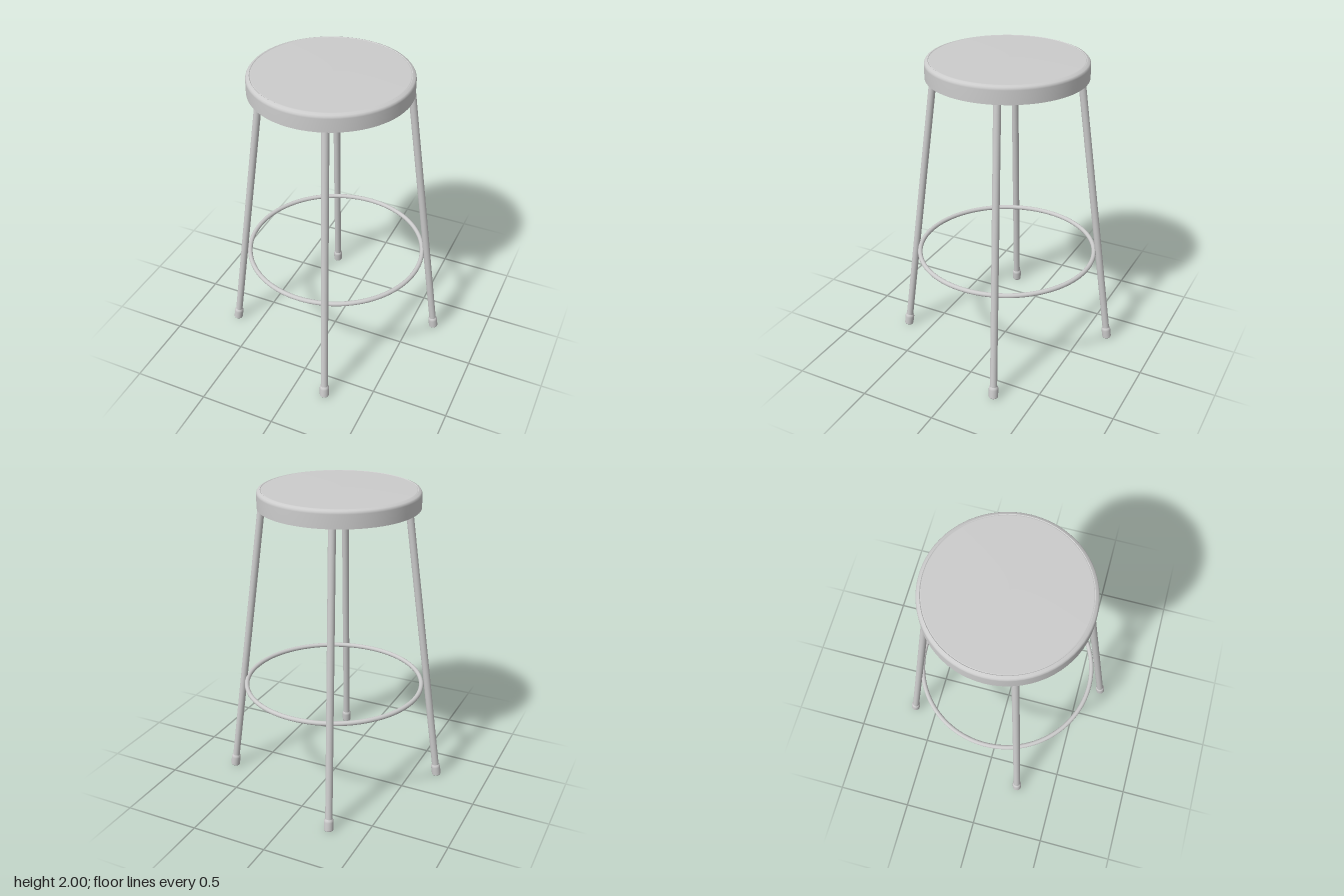
import * as THREE from 'three';

const material = new THREE.MeshStandardMaterial({ color: 0xcccccc });

function addMesh(parent, name, geometry) {
  const mesh = new THREE.Mesh(geometry, material);
  mesh.name = name;
  parent.add(mesh);
  return mesh;
}

// Lathe with crisp edges: each listed section gets its own smooth band
function addLathe(parent, name, sections, segments) {
  const group = new THREE.Group();
  group.name = name;
  sections.forEach((section, i) => {
    const points = section.map(([r, y]) => new THREE.Vector2(r, y));
    addMesh(group, `${name}Band${i + 1}`, new THREE.LatheGeometry(points, segments));
  });
  parent.add(group);
  return group;
}

// One leg in the x-y plane, +x pointing outwards
function createLeg() {
  const leg = new THREE.Group();
  const foot = new THREE.Vector3(0.705, 0.004, 0);
  const bend = new THREE.Vector3(0.449, 1.92, 0);
  const inner = new THREE.Vector3(0.215, 1.927, 0);
  const axis = bend.clone().sub(foot).normalize();
  const beforeBend = bend.clone().addScaledVector(axis, -0.03);
  const afterBend = bend.clone().lerp(inner, 0.12);

  // Bent tube: straight leg, tight elbow, short bar under the seat
  const path = new THREE.CurvePath();
  path.add(new THREE.LineCurve3(foot.clone().addScaledVector(axis, 0.02), beforeBend));
  path.add(new THREE.QuadraticBezierCurve3(beforeBend, bend, afterBend));
  path.add(new THREE.LineCurve3(afterBend, inner));
  addMesh(leg, 'legTube', new THREE.TubeGeometry(path, 160, 0.023, 20, false));

  // Closing disc on the inner end of the bar
  const end = addMesh(leg, 'legTubeEnd', new THREE.CircleGeometry(0.023, 20));
  end.position.copy(inner);
  end.rotation.y = -Math.PI / 2;

  // Foot cap, aligned with the leg
  const cap = addLathe(leg, 'footCap', [
    [[0, 0], [0.027, 0]],
    [[0.027, 0], [0.03, 0.005]],
    [[0.03, 0.005], [0.031, 0.06], [0.029, 0.072], [0.023, 0.08]],
  ], 24);
  cap.position.copy(foot);
  cap.quaternion.setFromUnitVectors(new THREE.Vector3(0, 1, 0), axis);
  return leg;
}

export function createModel() {
  const stool = new THREE.Group();
  stool.name = 'stool';

  // Seat: round pan with rounded top edge, hollow below
  const seat = addLathe(stool, 'seat', [
    [[0, 1.945], [0.485, 1.945]],
    [[0.485, 1.945], [0.485, 1.89]],
    [[0.485, 1.89], [0.503, 1.89]],
    [[0.503, 1.89], [0.503, 1.975], [0.501, 1.985], [0.495, 1.993], [0.48, 1.999]],
    [[0.48, 1.999], [0.476, 1.996]],
    [[0.476, 1.996], [0.47, 1.999], [0, 2]],
  ], 72);
  // The pan underside profile runs inside-out, so show both faces
  seat.children.forEach((band) => {
    band.material = material.clone();
    band.material.side = THREE.DoubleSide;
  });
  seat.position.x = -0.029;

  // Four splayed legs, opposite pairs sharing a centre
  const pairCentres = [[-0.003, -0.007], [-0.027, 0.002]];
  for (let i = 0; i < 4; i++) {
    const leg = createLeg();
    leg.name = `leg${i + 1}`;
    const [x, z] = pairCentres[i % 2];
    leg.position.set(x, 0, z);
    leg.rotation.y = THREE.MathUtils.degToRad(20.3 + 90 * i);
    stool.add(leg);
  }

  // Foot ring
  const ring = addMesh(stool, 'footRing', new THREE.TorusGeometry(0.578, 0.015, 16, 96));
  ring.rotation.x = Math.PI / 2;
  ring.position.set(0, 0.695, -0.013);

  return stool;
}
